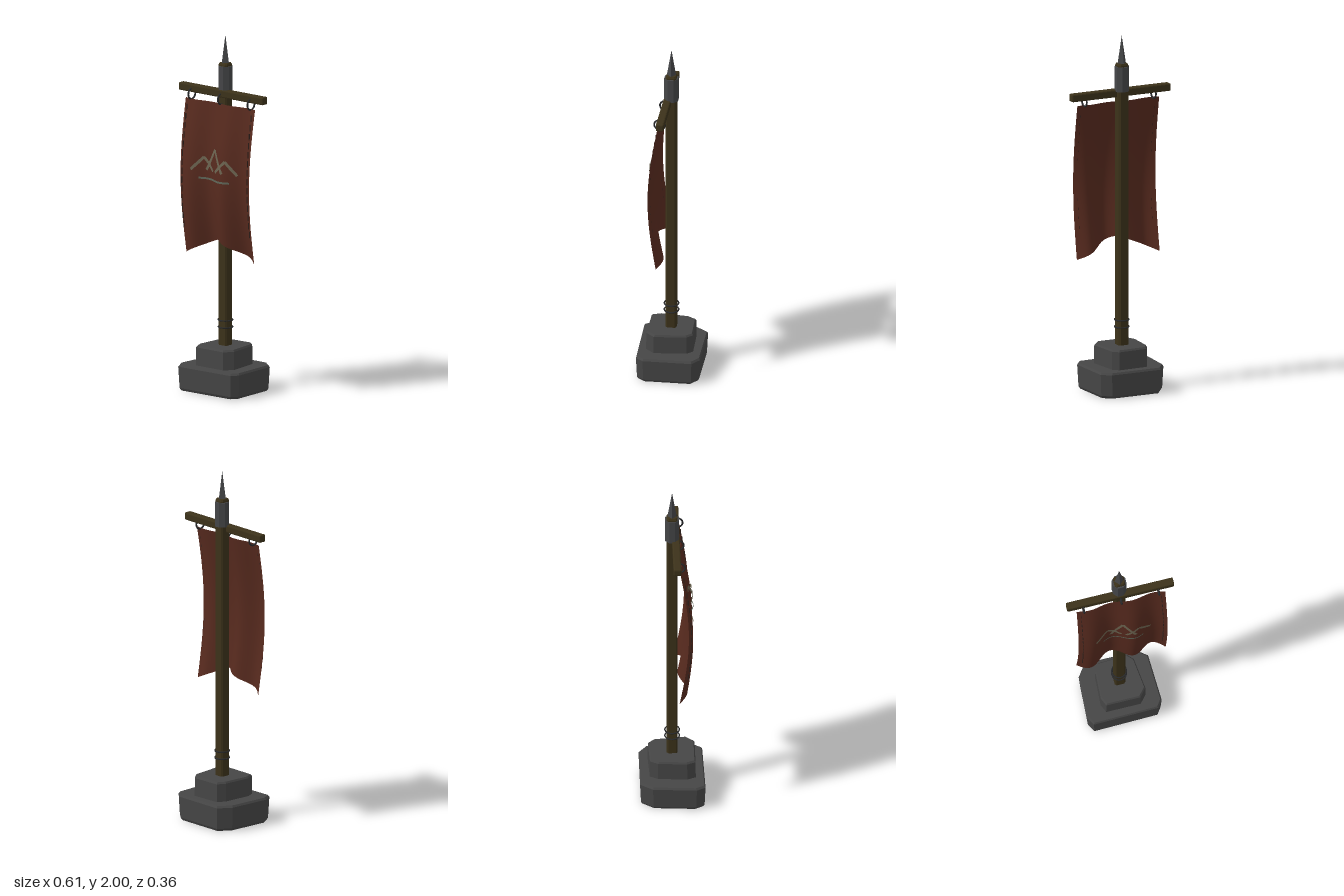
import * as THREE from 'three';
import { RoundedBoxGeometry } from 'three/addons/geometries/RoundedBoxGeometry.js';

const material = (name, color, side = THREE.FrontSide) => {
  const m = new THREE.MeshStandardMaterial({ color, side });
  m.name = name;
  return m;
};

// Facets a geometry so every face gets its own normal
function facet(geometry) {
  const g = geometry.index ? geometry.toNonIndexed() : geometry;
  g.computeVertexNormals();
  return g;
}

// Closed solid from one outline [x, z] (clockwise from above) stacked at levels [y, scale]
function stack(outline, levels) {
  const n = outline.length, pos = [], idx = [];
  for (const [y, s] of levels) for (const [x, z] of outline) pos.push(x * s, y, z * s);
  for (let l = 0; l < levels.length - 1; l++) {
    for (let i = 0; i < n; i++) {
      const a = l * n + i, b = l * n + (i + 1) % n;
      idx.push(a, a + n, b, b, a + n, b + n);
    }
  }
  const top = (levels.length - 1) * n;
  for (let i = 1; i < n - 1; i++) {
    idx.push(0, i, i + 1);
    idx.push(top, top + i + 1, top + i);
  }
  const g = new THREE.BufferGeometry();
  g.setAttribute('position', new THREE.Float32BufferAttribute(pos, 3));
  g.setIndex(idx);
  return facet(g);
}

// Depth of the billowing cloth at a point
const TOP = 1.62;
function clothZ(x, y) {
  const t = (TOP - y) / 0.87;
  const wave = Math.cos((2 * Math.PI * (x - 0.06)) / 0.24);
  return 0.042 + 0.048 * Math.sin(Math.PI * Math.min(t, 1)) + (0.008 + 0.024 * t) * wave;
}

// Swallow-tailed cloth sheet
function clothGeometry() {
  const g = new THREE.PlaneGeometry(0.5, 1, 48, 32);
  const p = g.attributes.position;
  for (let i = 0; i < p.count; i++) {
    const x = p.getX(i), v = 0.5 - p.getY(i);
    const bottom = 0.75 + 0.12 * (1 - Math.hypot(x, 0.03) / 0.252);
    const y = TOP + (bottom - TOP) * v;
    p.setXYZ(i, x, y, clothZ(x, y));
  }
  g.computeVertexNormals();
  return g;
}

// Flat strip between two points, draped just in front of the cloth
function strip([x0, y0], [x1, y1], width) {
  const length = Math.hypot(x1 - x0, y1 - y0);
  const g = new THREE.PlaneGeometry(length, width, 16, 1);
  g.rotateZ(Math.atan2(y1 - y0, x1 - x0));
  g.translate((x0 + x1) / 2, (y0 + y1) / 2, 0);
  const p = g.attributes.position;
  for (let i = 0; i < p.count; i++) p.setZ(i, clothZ(p.getX(i), p.getY(i)) + 0.009);
  g.computeVertexNormals();
  return g;
}

export function createModel() {
  const stone = material('stone', 0x464646);
  const wood = material('wood', 0x3c321a);
  const iron = material('iron', 0x454648);
  const darkIron = material('darkIron', 0x292a2c);
  const cloth = material('cloth', 0x572a1e, THREE.DoubleSide);
  const thread = material('thread', 0x6c6450, THREE.DoubleSide);
  const paleThread = material('paleThread', 0x5f6658, THREE.DoubleSide);
  const hemThread = material('hemThread', 0x30211c);

  const model = new THREE.Group();
  model.name = 'bannerStand';
  const add = (name, geometry, mat, x = 0, y = 0, z = 0) => {
    const mesh = new THREE.Mesh(geometry, mat);
    mesh.name = name;
    mesh.position.set(x, y, z);
    model.add(mesh);
  };

  // Two rough stone blocks, outlines run from back left to back right and round
  const lower = [[-0.15, -0.18], [0.15, -0.18], [0.2, -0.14], [0.208, 0.13],
    [0.18, 0.17], [-0.188, 0.178], [-0.215, 0.13], [-0.2, -0.11]];
  const upper = [[-0.09, -0.125], [0.08, -0.132], [0.11, -0.1], [0.13, 0.08],
    [0.09, 0.127], [-0.105, 0.127], [-0.125, 0.08], [-0.115, -0.08]];
  add('lowerStone', stack(lower, [[0.004, 0.93], [0.018, 0.97], [0.138, 1], [0.149, 0.965]]), stone);
  add('upperStone', stack(upper, [[0.14, 1], [0.25, 0.99], [0.26, 0.94]]), stone);

  // Square pole with chamfered corners
  const a = 0.03, b = 0.021;
  const section = [[-b, -a], [b, -a], [a, -b], [a, b], [b, a], [-b, a], [-a, b], [-a, -b]];
  add('pole', stack(section, [[0.2, 1], [1.834, 1], [1.844, 0.85]]), wood);

  // Iron bands near the foot of the pole
  for (const y of [0.36, 0.4]) {
    add('poleBand', new THREE.TorusGeometry(0.04, 0.004, 6, 20).rotateX(Math.PI / 2), darkIron, 0, y, 0);
  }

  // Iron socket and spike
  const socket = new THREE.CylinderGeometry(0.041, 0.041, 0.14, 8).rotateY(Math.PI / 8);
  add('socket', facet(socket), iron, 0, 1.757, 0);
  add('spike', facet(new THREE.CylinderGeometry(0, 0.027, 0.166, 4)), iron, 0, 1.917, 0);

  // Crossbar in front of the pole
  add('crossbar', facet(new RoundedBoxGeometry(0.605, 0.043, 0.043, 1, 0.007)), wood, 0, 1.675, 0.021);

  // Hanging rings
  for (const x of [-0.212, 0, 0.212]) {
    add('hangingRing', new THREE.TorusGeometry(0.03, 0.005, 6, 18).rotateY(Math.PI / 2), darkIron, x, 1.645, 0.034);
  }

  // Cloth with upright stitches along both hems
  add('bannerCloth', clothGeometry(), cloth);
  for (const x of [-0.228, 0.228]) {
    for (let y = 0.92; y < 1.6; y += 0.05) {
      add('hemStitch', new THREE.BoxGeometry(0.003, 0.036, 0.006), hemThread, x, y, clothZ(x, y) + 0.004);
    }
  }

  // Three stitched peaks over a ground line
  const peaks = [
    [[-0.155, 1.242], [-0.085, 1.315], [-0.012, 1.245]],
    [[-0.068, 1.245], [0, 1.368], [0.068, 1.245]],
    [[0.012, 1.245], [0.085, 1.315], [0.155, 1.242]],
  ];
  for (const [left, tip, right] of peaks) {
    add('peakSlope', strip(left, tip, 0.016), thread);
    add('peakSlope', strip(tip, right, 0.016), thread);
  }
  add('groundLine', strip([-0.112, 1.197], [0.112, 1.197], 0.011), paleThread);

  return model;
}
